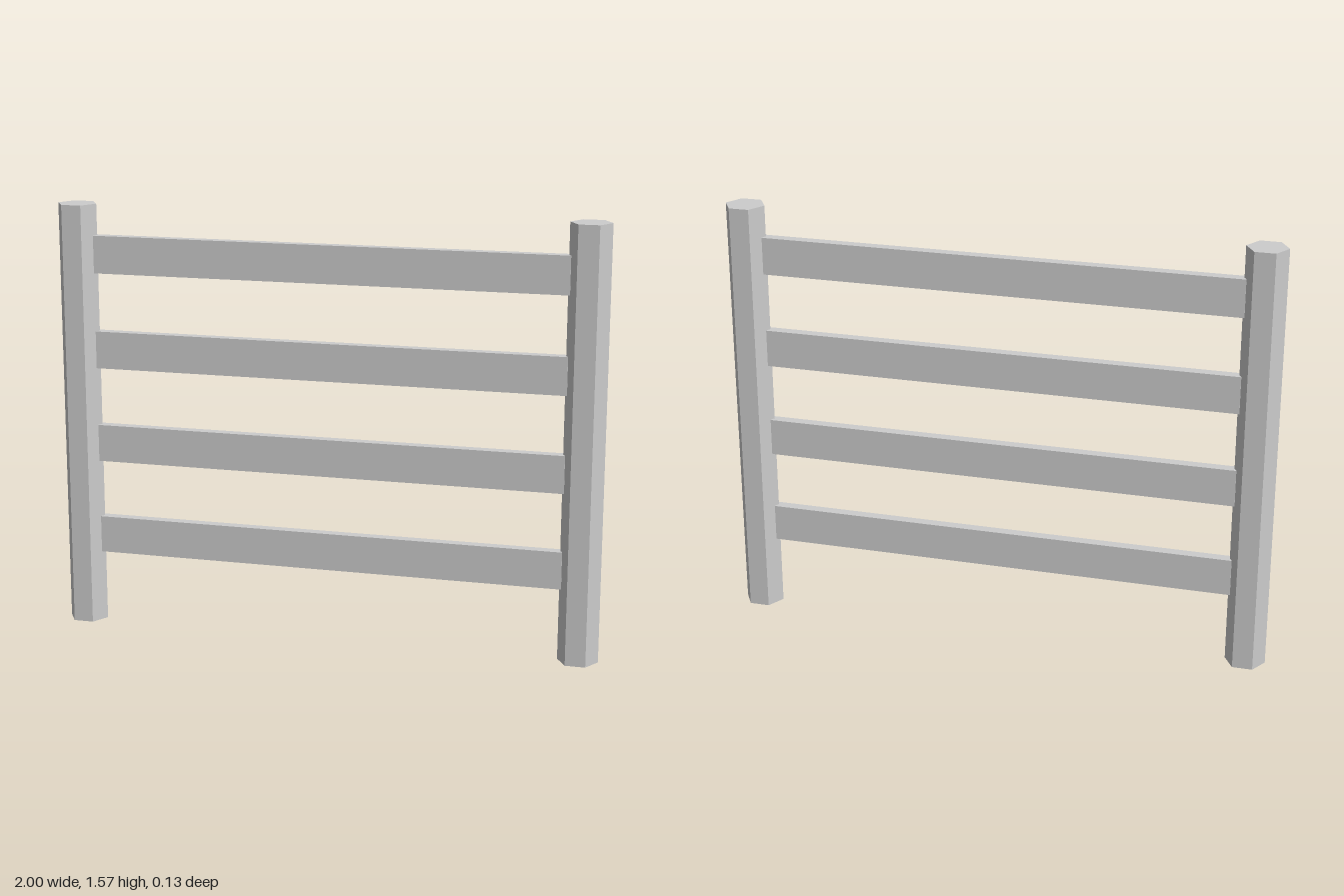
import * as THREE from 'three';

export function createModel() {
  const model = new THREE.Group();
  model.name = 'fencePanel';
  const grey = new THREE.MeshStandardMaterial({ color: 0xcccccc });
  grey.name = 'light grey';
  grey.flatShading = true;

  // Hexagonal posts, corners pointing along x
  const height = 1.57, radius = 0.073;
  const postGeometry = new THREE.CylinderGeometry(radius, radius, height, 6).rotateY(Math.PI / 2);
  for (const [name, side] of [['leftPost', 1], ['rightPost', -1]]) {
    const post = new THREE.Mesh(postGeometry, grey);
    post.name = name;
    post.position.set(side * (1 - radius), height / 2, 0);
    model.add(post);
  }

  // Four evenly spaced flat rails between the posts
  const railGeometry = new THREE.BoxGeometry(1.726, 0.137, 0.038);
  for (let i = 0; i < 4; i++) {
    const rail = new THREE.Mesh(railGeometry, grey);
    rail.name = `rail${i + 1}`;
    rail.position.y = 0.335 + i * 0.351;
    model.add(rail);
  }
  return model;
}
